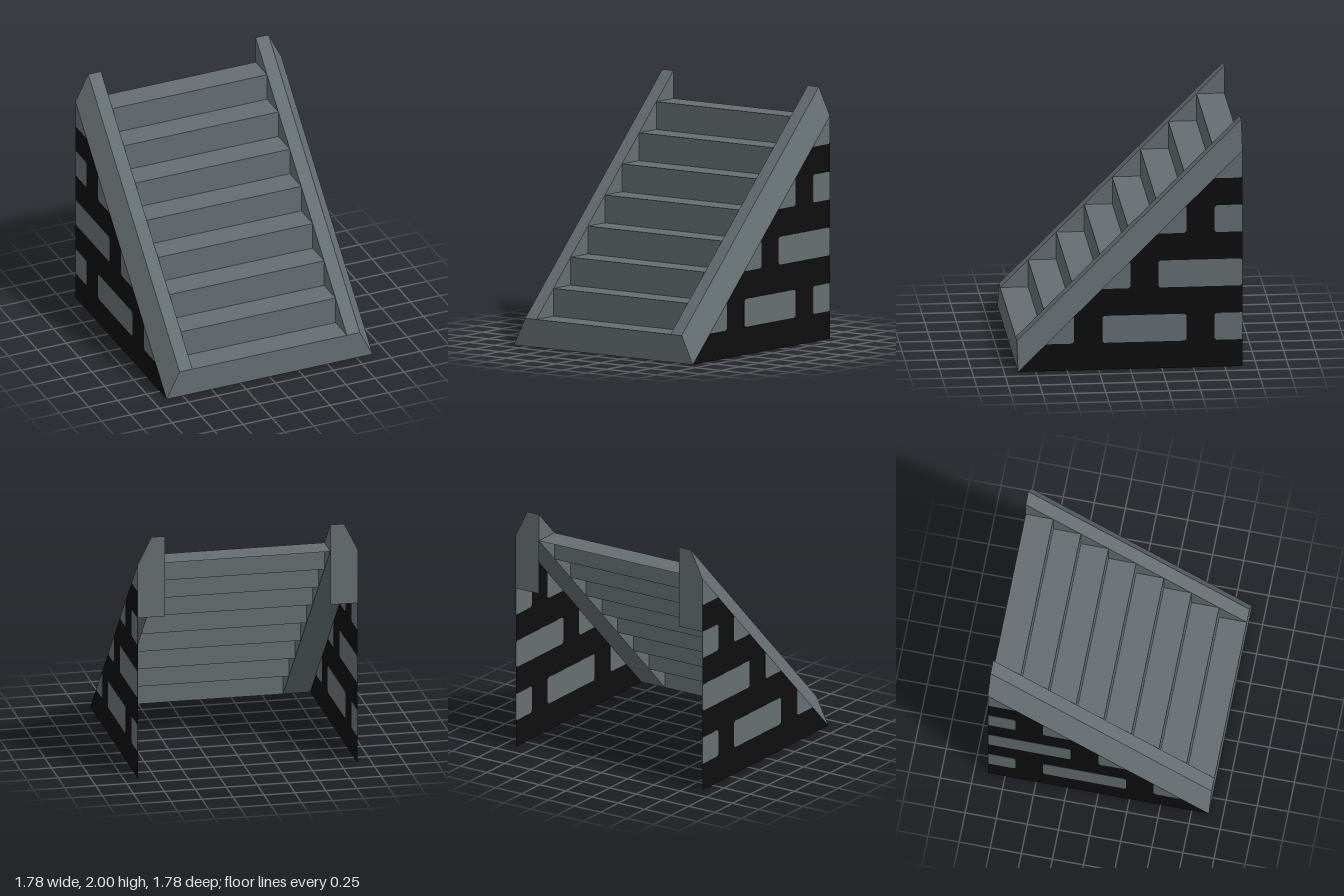
import * as THREE from 'three';

const U = 2 / 9; // one step rise; all sizes below are in steps

const material = (name, color, side = THREE.FrontSide) => {
  const m = new THREE.MeshStandardMaterial({ color, side });
  m.name = name;
  return m;
};

const toShape = (points) => new THREE.Shape(points.map(([x, y]) => new THREE.Vector2(x, y)));

// Keep the part of a polygon where inside(point) >= 0 (a linear function)
function clip(points, inside) {
  const out = [];
  points.forEach((p, i) => {
    const q = points[(i + 1) % points.length];
    const a = inside(p), b = inside(q);
    if (a >= 0) out.push(p);
    if (a * b < 0) {
      const t = a / (a - b);
      out.push([p[0] + (q[0] - p[0]) * t, p[1] + (q[1] - p[1]) * t]);
    }
  });
  return out;
}

// Brick outline with nicked corners, trimmed to the sloped wall
function brickOutline(s0, s1, y0, y1) {
  const c = 0.07;
  const points = [
    [s0 + c, y0], [s1 - c, y0], [s1, y0 + c], [s1, y1 - c],
    [s1 - c, y1], [s0 + c, y1], [s0, y1 - c], [s0, y0 + c],
  ];
  return clip(clip(points, ([s, y]) => 4 + s - y), ([s]) => 4 - s);
}

export function createModel() {
  const group = new THREE.Group();
  group.name = 'staircase';
  const stone = material('grey stone', 0x656e71, THREE.DoubleSide);
  const mortar = material('black mortar', 0x0e0e0e, THREE.DoubleSide);

  const add = (parent, name, geometry, mat) => {
    geometry.scale(U, U, U);
    const mesh = new THREE.Mesh(geometry, mat);
    mesh.name = name;
    parent.add(mesh);
  };

  // Eight open steps, each a riser and a tread
  const steps = new THREE.Group();
  steps.name = 'steps';
  group.add(steps);
  for (let i = 0; i < 8; i++) {
    add(steps, 'riser', new THREE.PlaneGeometry(6, 1).translate(0, i + 0.5, 4 - i), stone);
    add(steps, 'tread', new THREE.PlaneGeometry(6, 1).rotateX(-Math.PI / 2).translate(0, i + 1, 3.5 - i), stone);
  }

  for (const side of [1, -1]) {
    const half = new THREE.Group();
    half.name = side > 0 ? 'leftSide' : 'rightSide';
    group.add(half);

    // Sloping rail: bevelled section extruded back and sheared upward
    const section = toShape([[3, 0], [4, 0], [3.5, 1], [3, 1]].map(([x, y]) => [x * side, y]));
    const rail = new THREE.ExtrudeGeometry(section, { depth: 8, bevelEnabled: false }).translate(0, 0, -4);
    const pos = rail.attributes.position;
    for (let i = 0; i < pos.count; i++) pos.setY(i, pos.getY(i) + 4 - pos.getZ(i));
    rail.computeVertexNormals();
    add(half, 'rail', rail, stone);

    // Plate hanging below the rail at the back
    const plate = new THREE.PlaneGeometry(1, 2).rotateY(Math.PI).translate(3.5 * side, 7, -4);
    add(half, 'backPlate', plate, stone);

    // Triangular side wall
    const wall = new THREE.ShapeGeometry(toShape([[-4, 0], [4, 0], [4, 8]]));
    wall.rotateY(side * Math.PI / 2);
    if (side < 0) wall.scale(1, 1, -1);
    add(half, 'sideWall', wall.translate(side * 3.99, 0, 0), mortar);

    // Staggered bricks, thin enough to show on both faces of the wall
    for (let row = 0; row < 4; row++) {
      const y = 1 + row * 2;
      for (let s = row % 2 ? -3 : -5; s < 4; s += 4) {
        const outline = brickOutline(s, s + 3, y, y + 1);
        if (outline.length < 3) continue;
        const brick = new THREE.ExtrudeGeometry(toShape(outline), { depth: 0.02, bevelEnabled: false });
        brick.translate(0, 0, -0.01).rotateY(Math.PI / 2).translate(side * 3.99, 0, 0);
        add(half, 'brick', brick, stone);
      }
    }
  }
  return group;
}
